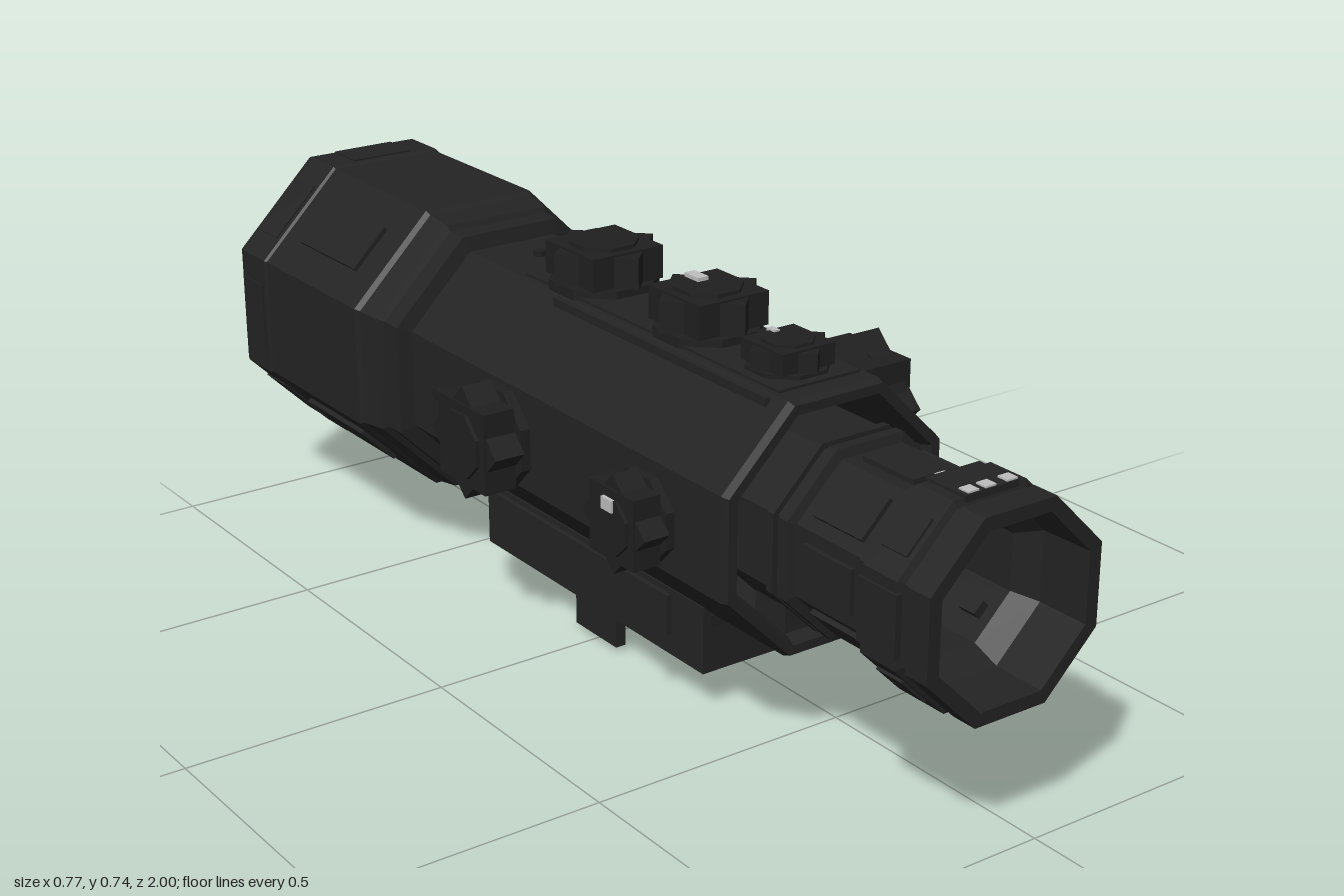
import * as THREE from 'three';

const CX = -0.07, CY = 0.42; // optical axis
const body = new THREE.MeshStandardMaterial({ color: 0x232323 });
body.name = 'matte black';
const trim = new THREE.MeshStandardMaterial({ color: 0x1f1f1f });
trim.name = 'knob black';
const mark = new THREE.MeshStandardMaterial({ color: 0xbdbdbd });
mark.name = 'light grey';

function faceted(geo) {
  const g = geo.index ? geo.toNonIndexed() : geo;
  g.computeVertexNormals();
  return g;
}

function add(parent, name, geo, mat, x = 0, y = 0, z = 0) {
  const m = new THREE.Mesh(geo, mat);
  m.name = name;
  m.position.set(x, y, z);
  parent.add(m);
  return m;
}

// box given by its extents
function block(parent, name, mat, x0, x1, y0, y1, z0, z1) {
  return add(parent, name, new THREE.BoxGeometry(x1 - x0, y1 - y0, z1 - z0), mat,
    (x0 + x1) / 2, (y0 + y1) / 2, (z0 + z1) / 2);
}

// closed eight-sided tube along z; profile is [apothem, z]: outside forward, inside back
function octTube(parent, name, profile) {
  const k = 1 / Math.cos(Math.PI / 8);
  const pts = [...profile, profile[0]].map(([a, z]) => new THREE.Vector2(a * k, z));
  const geo = new THREE.LatheGeometry(pts, 8, Math.PI / 8).rotateX(Math.PI / 2);
  return add(parent, name, faceted(geo), body, CX, CY, 0);
}

// eight-sided prism along y, standing on y0
function prism(parent, name, r, y0, y1, mat = trim) {
  const geo = new THREE.CylinderGeometry(r, r, y1 - y0, 8).rotateY(Math.PI / 8);
  return add(parent, name, faceted(geo), mat, 0, (y0 + y1) / 2, 0);
}

// eight-pointed block: two crossed square boxes
function star(parent, name, r, y0, y1, mat = trim) {
  const s = r * Math.SQRT2;
  for (let i = 0; i < 2; i++) {
    const h = y1 - y0 - i * 0.004;
    add(parent, name, new THREE.BoxGeometry(s, h, s), mat, 0, y0 + h / 2, 0).rotation.y = i * Math.PI / 4;
  }
}

// adjustment knob along local y: foot, pointed grip, cap and grip ribs
function knob(parent, name, r, h, x, y, z, rotZ = 0) {
  const g = new THREE.Group();
  g.name = name;
  g.position.set(x, y, z);
  g.rotation.z = rotZ;
  prism(g, 'knobFoot', r * 0.95, -0.01, h * 0.22);
  star(g, 'knobGrip', r, h * 0.22, h * 0.92);
  prism(g, 'knobCap', r * 0.6, h * 0.9, h);
  for (let i = 0; i < 8; i++) {
    const a = i * Math.PI / 4;
    const d = r * 0.72;
    add(g, 'knobRib', new THREE.BoxGeometry(r * 0.06, h * 0.45, r * 0.3), trim,
      Math.cos(a) * d, h * 0.6, Math.sin(a) * d).rotation.y = -a;
  }
  parent.add(g);
  return g;
}

// thin plates on the faces of an octagon section
function facePlates(parent, name, apothem, width, z0, z1, faces, thick = 0.012) {
  for (const i of faces) {
    const a = i * Math.PI / 4;
    add(parent, name, new THREE.BoxGeometry(thick, width, z1 - z0), body,
      CX + Math.cos(a) * apothem, CY + Math.sin(a) * apothem, (z0 + z1) / 2).rotation.z = a;
  }
}

export function createModel() {
  const model = new THREE.Group();
  model.name = 'scope';
  const all = [0, 1, 2, 3, 4, 5, 6, 7], diagonal = [1, 3, 5, 7], square = [0, 2, 4, 6];

  // main tube
  octTube(model, 'mainTube', [
    [0.2, -0.5], [0.227, -0.45], [0.227, 0.555], [0.222, 0.57], [0.205, 0.57],
    [0.197, 0.55], [0.197, -0.5],
  ]);
  // stepped collar and bell, open to the rear
  octTube(model, 'objectiveBell', [
    [0.275, -1], [0.283, -0.992], [0.286, -0.98], [0.286, -0.89], [0.282, -0.885], [0.282, -0.53],
    [0.275, -0.52], [0.267, -0.465], [0.256, -0.46], [0.256, -0.415], [0.227, -0.41],
    [0.2, -0.41], [0.2, -0.62], [0.225, -0.62], [0.225, -0.72], [0.255, -0.74], [0.255, -1],
  ]);
  facePlates(model, 'bellPlate', 0.283, 0.1, -0.82, -0.6, diagonal, 0.016);
  facePlates(model, 'bellRimPlate', 0.284, 0.13, -0.98, -0.9, all, 0.01);

  // eyepiece
  octTube(model, 'eyepiece', [
    [0.16, 0.45], [0.16, 0.6], [0.168, 0.6], [0.168, 0.615], [0.158, 0.615], [0.158, 0.63],
    [0.168, 0.63], [0.168, 0.65], [0.152, 0.655], [0.152, 0.82], [0.165, 0.825], [0.165, 0.845],
    [0.18, 0.85], [0.18, 0.93], [0.168, 0.935], [0.168, 0.95], [0.176, 0.95], [0.176, 1],
    [0.152, 1], [0.15, 0.9], [0.122, 0.86], [0.122, 0.45],
  ]);
  facePlates(model, 'eyepieceRib', 0.154, 0.08, 0.68, 0.8, all, 0.014);
  facePlates(model, 'focusRingPlate', 0.179, 0.11, 0.845, 0.935, square);
  facePlates(model, 'focusRingPlate', 0.179, 0.07, 0.86, 0.92, diagonal);
  facePlates(model, 'innerStud', 0.118, 0.026, 0.8, 0.84, diagonal, 0.026);
  block(model, 'eyepieceBridge', body, -0.15, 0.01, 0.21, 0.275, 0.46, 0.54);
  for (const x of [-0.105, -0.07, -0.026])
    block(model, 'focusMark', mark, x - 0.011, x + 0.011, 0.598, 0.608, 0.91, 0.932);
  block(model, 'eyepieceMark', mark, -0.08, -0.06, 0.575, 0.59, 0.815, 0.835);

  // top plate and top knobs
  block(model, 'topPlate', body, -0.155, 0.015, 0.64, 0.652, -0.23, 0.52);
  block(model, 'topRail', body, -0.182, -0.172, 0.625, 0.645, -0.1, 0.52);
  knob(model, 'rearTopKnob', 0.108, 0.088, CX, 0.647, -0.1);
  knob(model, 'middleTopKnob', 0.104, 0.088, CX, 0.647, 0.215);
  knob(model, 'frontTopKnob', 0.078, 0.055, CX, 0.647, 0.435);
  block(model, 'middleKnobMark', mark, -0.081, -0.059, 0.733, 0.742, 0.16, 0.2);
  block(model, 'frontKnobMark', mark, -0.076, -0.064, 0.697, 0.705, 0.385, 0.405);

  // locating pins
  const pin = new THREE.CylinderGeometry(0.012, 0.012, 0.012, 8);
  add(model, 'topPin', pin, trim, CX, CY + 0.231, -0.315);
  for (const s of [-1, 1])
    add(model, 'sidePin', pin, trim, CX + s * 0.231, CY, -0.315).rotation.z = Math.PI / 2;

  // large left-side turret with crossed side plates
  const turret = new THREE.Group();
  turret.name = 'sideTurret';
  turret.position.set(0.15, CY, 0.148);
  turret.rotation.z = -Math.PI / 2;
  prism(turret, 'turretBase', 0.115, 0, 0.045);
  star(turret, 'turretGrip', 0.124, 0.04, 0.228);
  prism(turret, 'turretCap', 0.048, 0.22, 0.236);
  for (let i = 0; i < 8; i++) {
    const a = (i + 0.5) * Math.PI / 4;
    add(turret, 'turretRib', new THREE.BoxGeometry(0.022, 0.045, 0.045), trim,
      Math.cos(a) * 0.088, 0.193, Math.sin(a) * 0.088).rotation.y = -a;
  }
  model.add(turret);
  for (const z of [0.287, 0.005]) {
    block(model, 'turretSidePlate', body, 0.15, 0.19, 0.357, 0.482, z - 0.07, z + 0.07);
    for (const s of [-1, 1])
      add(model, 'plateCrossBar', new THREE.BoxGeometry(0.008, 0.13, 0.015), body, 0.191, CY, z)
        .rotation.x = s * Math.PI / 4;
  }
  block(model, 'turretMark', mark, 0.186, 0.193, 0.473, 0.492, 0.05, 0.062);

  // right-side knobs
  knob(model, 'rearSideKnob', 0.108, 0.092, -0.297, CY - 0.01, -0.1, Math.PI / 2);
  knob(model, 'frontSideKnob', 0.09, 0.078, -0.297, CY - 0.01, 0.35, Math.PI / 2);
  block(model, 'sideKnobMark', mark, -0.379, -0.372, 0.438, 0.46, 0.335, 0.365);

  // mounting base with clamp feet
  block(model, 'mountBase', body, -0.18, 0.04, 0.078, 0.205, -0.343, 0.353);
  block(model, 'mountShoulder', body, -0.19, 0.05, 0.12, 0.195, -0.3, 0.26);
  block(model, 'mountFrontLip', trim, -0.168, 0.028, 0.168, 0.19, 0.35, 0.36);
  block(model, 'clampTongue', body, -0.125, -0.015, 0.034, 0.08, -0.06, 0.07);
  for (const x of [-0.168, 0.007])
    block(model, 'clampFoot', body, x, x + 0.021, 0.011, 0.08, -0.06, 0.07);

  // clamp knobs and the bright cross screw
  for (const z of [0.18, -0.17])
    knob(model, 'clampKnob', 0.07, 0.087, 0.048, 0.122, z, -Math.PI / 2);
  const screw = new THREE.Group();
  screw.name = 'clampScrew';
  screw.position.set(0.025, 0.032, 0.005);
  screw.rotation.z = -Math.PI / 2;
  star(screw, 'screwHead', 0.031, 0, 0.025, mark);
  model.add(screw);

  return model;
}
